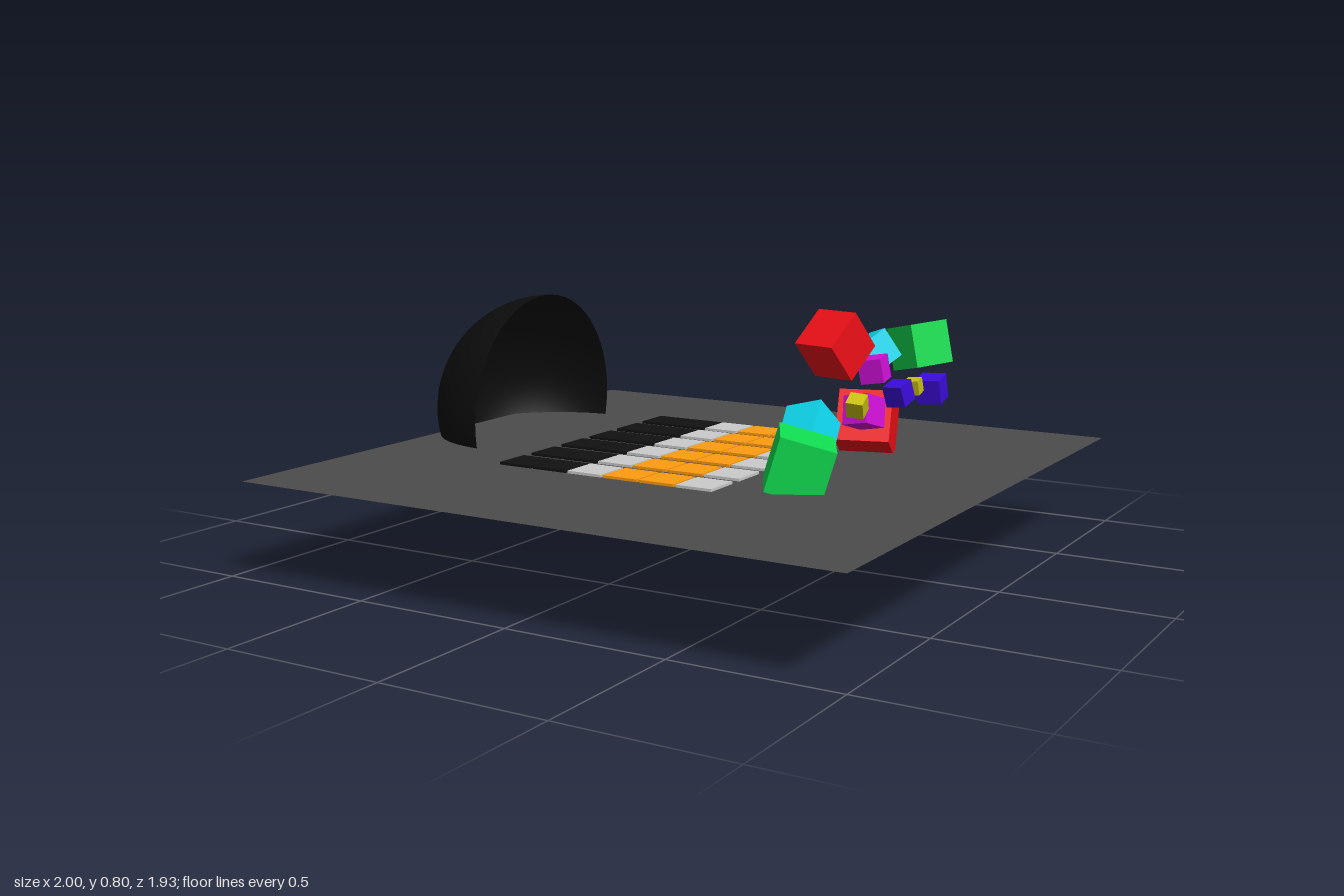
import * as THREE from 'three';

const paint = (color, side = THREE.FrontSide) => new THREE.MeshStandardMaterial({ color, side });

export function createModel() {
  const model = new THREE.Group();
  const add = (name, geometry, material, x, y, z, parent = model) => {
    const mesh = new THREE.Mesh(geometry, material);
    mesh.name = name;
    mesh.position.set(x, y, z);
    parent.add(mesh);
    return mesh;
  };

  // Thin square floor
  const floor = add('floor', new THREE.PlaneGeometry(1.93, 1.93), paint(0x4c4c4c, THREE.DoubleSide), 0.035, 0.3, 0.045);
  floor.rotation.x = -Math.PI / 2;

  // Open bowl standing on its side, mouth towards +x, sunk through the floor
  const bowl = add('bowl', new THREE.SphereGeometry(0.377, 64, 32, 0, Math.PI * 2, 0, 1.5),
    paint(0x0c0c0c, THREE.DoubleSide), -0.623, 0.38, -0.095);
  bowl.rotation.z = Math.PI / 2 - 0.026;

  // Grid of flat tiles, one colour per column
  const tiles = new THREE.Group();
  tiles.name = 'tileGrid';
  model.add(tiles);
  const black = paint(0x111111), pale = paint(0xcccccc), orange = paint(0xff9c10);
  const tile = new THREE.BoxGeometry(0.117, 0.008, 0.121);
  [black, black, pale, orange, orange, pale].forEach((material, col) => {
    for (let row = 0; row < 6; row++) {
      add('tile', tile, material, -0.376 + col * 0.1246, 0.305, -0.427 + row * 0.161, tiles);
    }
  });

  // Tumbling cubes: name, colour, edge, centre, turn (pitch, yaw, roll)
  const cubes = new THREE.Group();
  cubes.name = 'floatingCubes';
  model.add(cubes);
  const red = paint(0xf01018), green = paint(0x10dc50), cyan = paint(0x10d8f0);
  const magenta = paint(0xd010d8), blue = paint(0x3a0cd8), yellow = paint(0xc8c010);
  [
    ['redCube', red, 0.135, [0.557, 0.705, 0.178], [0.72, -0.25, 0]],
    ['redCube', red, 0.168, [0.428, 0.387, -0.328], [-0.5, 0.28, 0]],
    ['greenCube', green, 0.13, [0.613, 0.653, -0.295], [0.08, -0.55, 0.2]],
    ['greenCube', green, 0.165, [0.496, 0.37, 0.27], [0.08, 0.5, -0.28]],
    ['cyanCube', cyan, 0.095, [0.545, 0.648, -0.113], [0.5, -0.5, 0.3]],
    ['cyanCube', cyan, 0.12, [0.41, 0.422, 0.038], [0.75, 0.2, 0.35]],
    ['magentaCube', magenta, 0.07, [0.61, 0.62, 0.027], [0.12, 0.12, 0.15]],
    ['magentaCube', magenta, 0.09, [0.508, 0.463, -0.128], [-0.3, -0.25, 0.2]],
    ['blueCube', blue, 0.06, [0.739, 0.577, 0.143], [0.3, -0.1, 0.1]],
    ['blueCube', blue, 0.075, [0.667, 0.527, -0.267], [0.2, 0.1, 0.05]],
    ['yellowCube', yellow, 0.052, [0.58, 0.517, 0.075], [0.5, 0.1, -0.1]],
    ['yellowCube', yellow, 0.043, [0.667, 0.553, -0.13], [0.2, 0.1, 0.1]],
  ].forEach(([name, material, edge, centre, turn]) => {
    const cube = add(name, new THREE.BoxGeometry(edge, edge, edge), material, ...centre, cubes);
    cube.rotation.set(...turn, 'YXZ');
  });

  return model;
}
